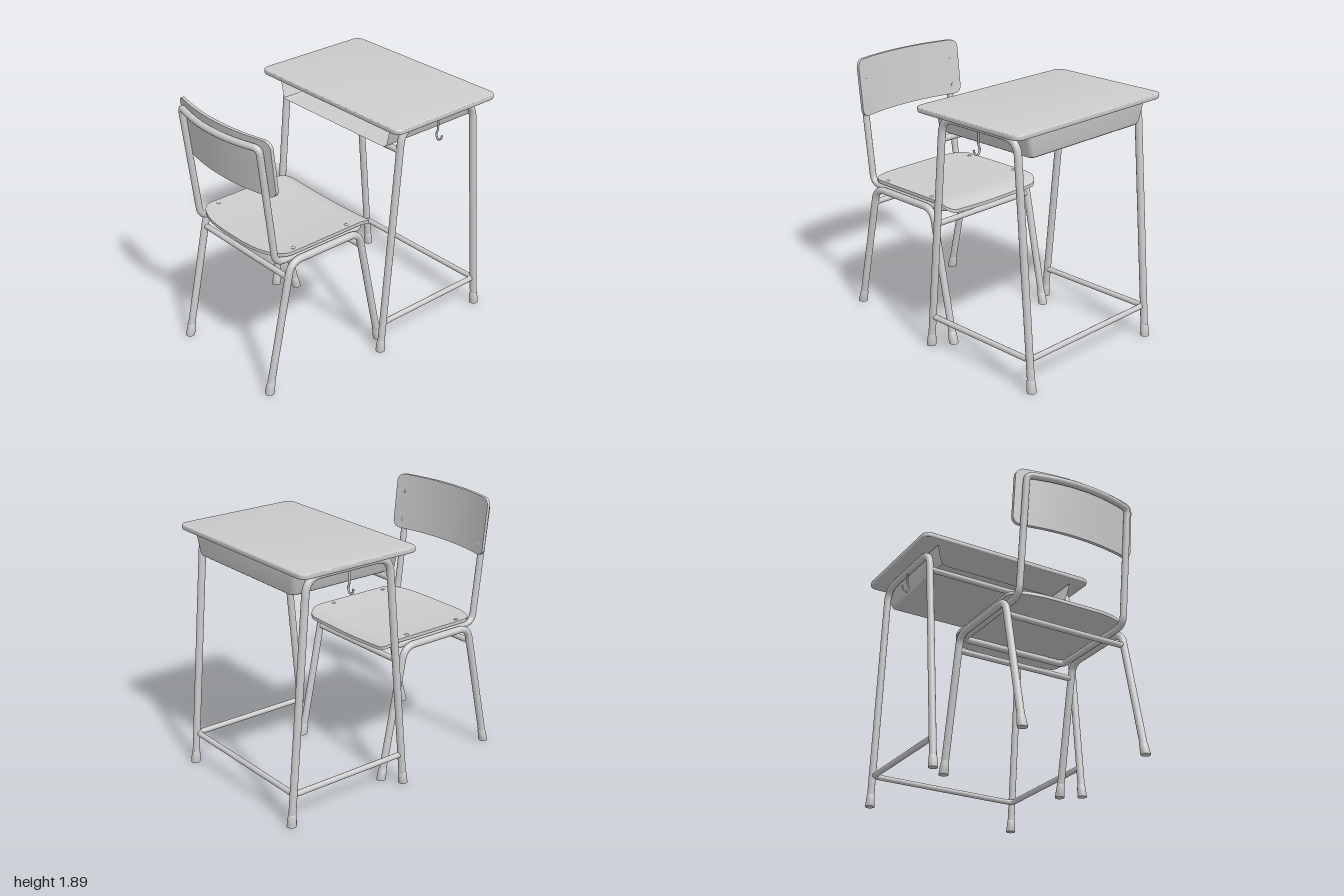
import * as THREE from 'three';
import { toCreasedNormals } from 'three/addons/utils/BufferGeometryUtils.js';

const V = (x, y, z) => new THREE.Vector3(x, y, z);
const material = new THREE.MeshStandardMaterial({ color: 0xcccccc });
const thinMaterial = new THREE.MeshStandardMaterial({ color: 0xcccccc, side: THREE.DoubleSide });

function add(parent, name, geometry, mat = material) {
  const mesh = new THREE.Mesh(geometry, mat);
  mesh.name = name;
  parent.add(mesh);
  return mesh;
}

// Bent tube through corner points [x, y, z, trim]; trim is the length cut off for each bend
function bentTube(points, radius, segments = 160) {
  const path = new THREE.CurvePath();
  let last = V(...points[0].slice(0, 3));
  for (let i = 1; i < points.length; i++) {
    const p = V(...points[i].slice(0, 3));
    const trim = points[i][3];
    if (!trim || i === points.length - 1) {
      path.add(new THREE.LineCurve3(last, p));
      last = p;
      continue;
    }
    const prev = V(...points[i - 1].slice(0, 3)), next = V(...points[i + 1].slice(0, 3));
    const a = p.clone().addScaledVector(prev.sub(p).normalize(), trim);
    const b = p.clone().addScaledVector(next.sub(p).normalize(), trim);
    path.add(new THREE.LineCurve3(last, a));
    path.add(new THREE.QuadraticBezierCurve3(a, p, b));
    last = b;
  }
  return new THREE.TubeGeometry(path, segments, radius, 14, false);
}

// Straight bar across z
function crossBar(parent, name, x, y, halfLength, radius) {
  const bar = add(parent, name, new THREE.CylinderGeometry(radius, radius, halfLength * 2, 14));
  bar.rotation.x = Math.PI / 2;
  bar.position.set(x, y, 0);
}

// Flared rubber foot, sheared along its leg
function foot(parent, x, z, slope) {
  const profile = [[0, 0], [0.033, 0], [0.034, 0.006], [0.029, 0.08], [0.026, 0.088], [0, 0.088]];
  const g = toCreasedNormals(new THREE.LatheGeometry(profile.map(p => new THREE.Vector2(...p)), 18), 0.6);
  g.applyMatrix4(new THREE.Matrix4().set(1, slope, 0, x, 0, 1, 0, 0, 0, 0, 1, z, 0, 0, 0, 1));
  add(parent, 'foot', g);
}

// Surface through rows of points
function loft(rows) {
  const n = rows[0].length, index = [];
  for (let i = 0; i < rows.length - 1; i++) {
    for (let j = 0; j < n - 1; j++) {
      const a = i * n + j, b = a + 1, d = a + n, c = d + 1;
      index.push(a, b, c, a, c, d);
    }
  }
  const g = new THREE.BufferGeometry().setFromPoints(rows.flat());
  g.setIndex(index);
  return toCreasedNormals(g, 0.6);
}

// Curved plywood panel: stations from s0 to s1, halfWidth(s), place(s, z, side)
function panel(s0, s1, halfWidth, place, count = 48, across = 20) {
  const rows = [];
  for (let i = -1; i <= count + 1; i++) {
    const k = Math.min(Math.max(i, 0), count) / count;
    const s = s0 + (s1 - s0) * (1 - Math.cos(k * Math.PI)) / 2;
    const side = i < 0 || i > count ? 0 : 1;
    const w = halfWidth(s), row = [];
    for (let j = 0; j <= across; j++) row.push(place(s, w * (2 * j / across - 1), side));
    for (let j = across; j >= 0; j--) row.push(place(s, w * (2 * j / across - 1), -side));
    row.push(row[0].clone());
    rows.push(row);
  }
  return loft(rows);
}

// Width lost at distance d from an end with corner radius r
const cornerLoss = (d, r) => d >= r ? 0 : r - Math.sqrt(Math.max(0, r * r - (r - d) ** 2));

function roundedRect(w, h, r) {
  const s = new THREE.Shape();
  s.absarc(w / 2 - r, h / 2 - r, r, 0, Math.PI / 2);
  s.absarc(r - w / 2, h / 2 - r, r, Math.PI / 2, Math.PI);
  s.absarc(r - w / 2, r - h / 2, r, Math.PI, Math.PI * 1.5);
  s.absarc(w / 2 - r, r - h / 2, r, Math.PI * 1.5, Math.PI * 2);
  return s;
}

function buildDesk() {
  const desk = new THREE.Group();
  desk.name = 'desk';

  // Table top with softened edge
  const bevel = 0.009;
  const top = new THREE.ExtrudeGeometry(roundedRect(0.945 - 2 * bevel, 1.42 - 2 * bevel, 0.05), {
    depth: 0.038 - 2 * bevel, bevelSize: bevel, bevelThickness: bevel, bevelSegments: 3, curveSegments: 10,
  });
  top.rotateX(-Math.PI / 2);
  top.translate(0.4625, 1.739 + bevel, 0);
  add(desk, 'tableTop', toCreasedNormals(top, 0.6));

  // Storage tray, open towards the chair
  const levels = [[1.73, 0.57, 0.897], [1.605, 0.54, 0.888], [1.585, 0.53, 0.882],
    [1.577, 0.515, 0.87], [1.575, 0.49, 0.85], [1.575, 0, 0.85]];
  const rows = levels.map(([y, hz, x]) => {
    const r = Math.min(0.03, hz), row = [V(0.055, y, hz)];
    for (let k = 0; k <= 5; k++) {
      const a = k / 5 * Math.PI / 2;
      row.push(V(x - r + r * Math.sin(a), y, hz - r + r * Math.cos(a)));
    }
    return row.concat(row.slice().reverse().map(p => V(p.x, p.y, -p.z)));
  });
  rows.forEach(row => row.reverse());
  add(desk, 'storageTray', loft(rows), thinMaterial);
  crossBar(desk, 'trayBar', 0.125, 1.553, 0.59, 0.022);

  // Side frames, feet and bag hooks
  for (const side of [1, -1]) {
    const z = 0.593 * side;
    add(desk, 'legFrame', bentTube([[-0.005, 0.02, z], [0.142, 1.705, z, 0.11],
      [0.818, 1.705, z, 0.11], [0.965, 0.02, z]], 0.026));
    foot(desk, -0.007, z, 0.087);
    foot(desk, 0.967, z, -0.087);
    const hook = [[0, 1.69], [0, 1.6], [-0.012, 1.565], [0.005, 1.53], [0.03, 1.54], [0.043, 1.575]];
    const curve = new THREE.CatmullRomCurve3(hook.map(([o, y]) => V(0.48, y, (0.597 + o) * side)));
    add(desk, 'bagHook', new THREE.TubeGeometry(curve, 30, 0.007, 8));
  }

  // Foot rail around three sides
  add(desk, 'footRail', bentTube([[0.015, 0.225, 0.59], [0.94, 0.225, 0.59, 0.045],
    [0.94, 0.225, -0.59, 0.045], [0.015, 0.225, -0.59]], 0.02, 200));
  return desk;
}

function buildChair() {
  const chair = new THREE.Group();
  chair.name = 'chair';

  // Seat: dished, rounded at the back, rolled down at the front
  const seatWidth = x => x < -0.69
    ? 0.45 * Math.cbrt(Math.max(0, 1 - ((-0.69 - x) / 0.15) ** 2))
    : 0.45 - cornerLoss(0.04 - x, 0.08);
  add(chair, 'seat', panel(-0.84, 0.04, seatWidth, (x, z, side) => {
    const roll = Math.max(0, (x + 0.1) / 0.14);
    return V(x, 0.998 + 0.016 * (z / 0.45) ** 2 - 0.045 * roll * roll + 0.012 * side, z);
  }));

  // Backrest: leaning and curved around the sitter
  const backWidth = y => 0.48 - cornerLoss(Math.min(1.89 - y, y - 1.48), 0.055);
  add(chair, 'backrest', panel(1.89, 1.48, backWidth, (y, z, side) =>
    V(-0.822 - (y - 1.48) * 0.11 - 0.07 * (1 - (z / 0.48) ** 2) + 0.012 * side, y, z)));

  // One loop of tube carries the seat and the backrest
  const half = [[-0.06, 0.966, 0.415, 0.05], [-0.805, 0.966, 0.415, 0.075], [-0.912, 1.835, 0.415, 0.045]];
  const mirrored = half.slice().reverse().map(([x, y, z, r]) => [x, y, -z, r]);
  add(chair, 'seatAndBackFrame', bentTube([[-0.06, 0.966, 0], ...half, [-1.03, 1.835, 0, 0.37],
    ...mirrored, [-0.06, 0.966, 0]], 0.024, 360));

  // Leg frames, feet and rivets
  for (const side of [1, -1]) {
    const z = 0.465 * side;
    add(chair, 'legFrame', bentTube([[-0.917, 0.02, z], [-0.715, 0.963, z, 0.09],
      [-0.115, 0.963, z, 0.09], [0.083, 0.02, z]], 0.026));
    foot(chair, -0.921, z, 0.213);
    foot(chair, 0.087, z, -0.21);
    for (const x of [-0.65, -0.18]) {
      const rivet = add(chair, 'seatRivet', new THREE.SphereGeometry(0.016, 12, 8));
      rivet.scale.y = 0.35;
      rivet.position.set(x, 1.024, 0.41 * side);
    }
    for (const y of [1.55, 1.76]) {
      const rivet = add(chair, 'backrestRivet', new THREE.SphereGeometry(0.014, 12, 8));
      rivet.scale.x = 0.35;
      rivet.position.set(-0.829 - (y - 1.48) * 0.11, y, 0.415 * side);
    }
  }
  crossBar(chair, 'rearLegBar', -0.738, 0.85, 0.455, 0.021);
  crossBar(chair, 'frontLegBar', -0.092, 0.85, 0.455, 0.021);
  return chair;
}

export function createModel() {
  const model = new THREE.Group();
  model.name = 'schoolDeskAndChair';
  model.add(buildDesk(), buildChair());
  return model;
}
